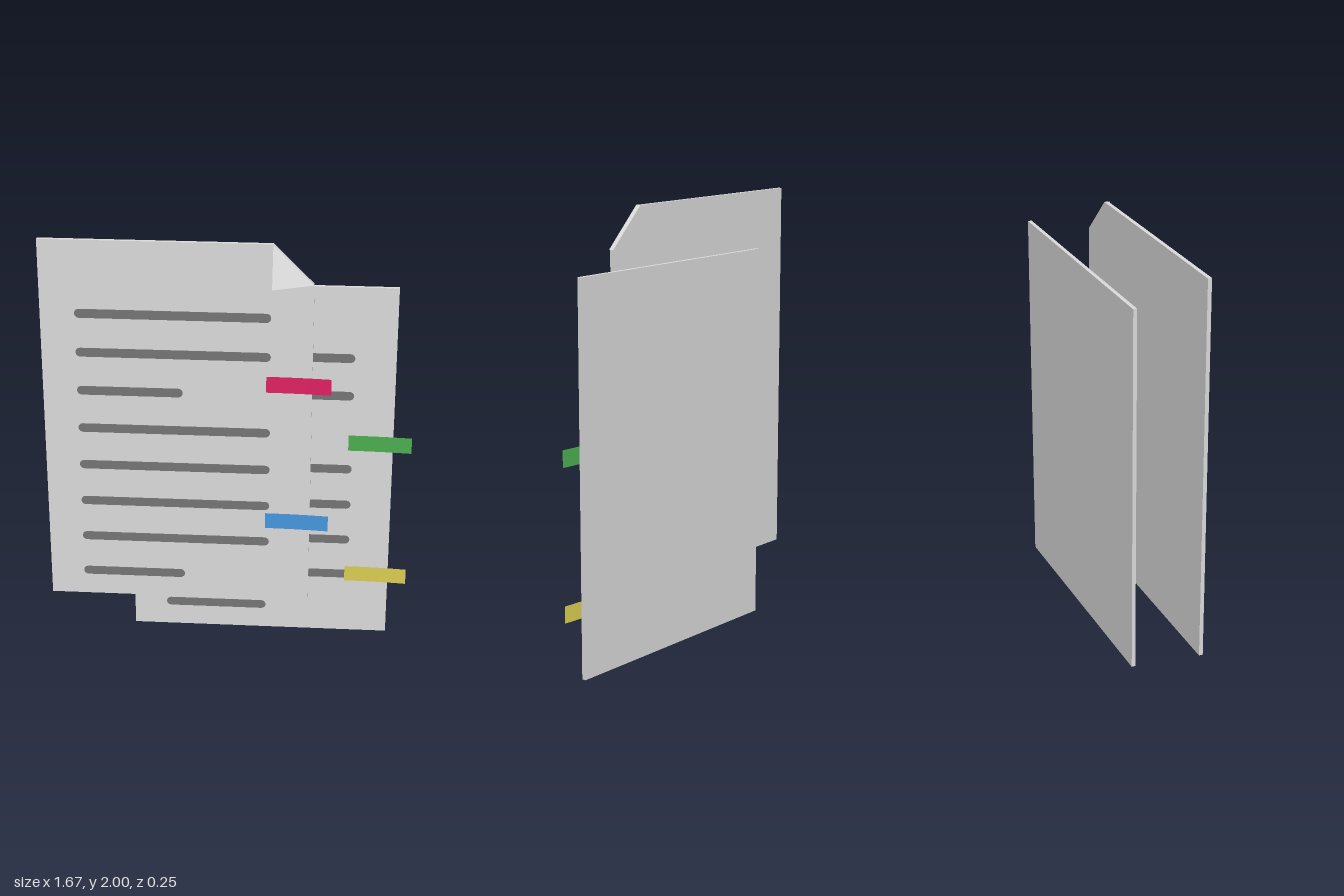
import * as THREE from 'three';

const mat = (name, color, side = THREE.FrontSide) => {
  const m = new THREE.MeshStandardMaterial({ color, side });
  m.name = name;
  return m;
};

export function createModel() {
  const paper = mat('paper', 0xdcdcdc, THREE.DoubleSide);
  const ink = mat('ink', 0x757575);
  const red = mat('red', 0xe02263, THREE.DoubleSide);
  const blue = mat('blue', 0x4698e0, THREE.DoubleSide);
  const green = mat('green', 0x4caf50, THREE.DoubleSide);
  const yellow = mat('yellow', 0xdccf52, THREE.DoubleSide);

  const W = 1.21, H = 1.757, T = 0.018, FOLD = 0.18;
  const model = new THREE.Group();
  model.name = 'documents';

  const add = (parent, name, geometry, material) => {
    const mesh = new THREE.Mesh(geometry, material);
    mesh.name = name;
    parent.add(mesh);
    return mesh;
  };

  // Flat plate cut from an outline
  const plate = (points, depth) => new THREE.ExtrudeGeometry(
    new THREE.Shape(points.map(([x, y]) => new THREE.Vector2(x, y))),
    { depth, bevelEnabled: false });

  // One line of writing: a thin bar with rounded ends
  const bar = (length) => {
    const r = 0.021, s = new THREE.Shape();
    s.absarc(length - r, 0, r, -Math.PI / 2, Math.PI / 2, false);
    s.absarc(r, 0, r, Math.PI / 2, Math.PI * 1.5, false);
    return new THREE.ExtrudeGeometry(s, { depth: 0.003, bevelEnabled: false, curveSegments: 6 });
  };

  // A sheet with eight lines, origin at its lower left back corner
  const sheet = (name, x, y, z, fold) => {
    const g = new THREE.Group();
    g.name = name;
    g.position.set(x, y, z);
    const corner = fold ? [[W, H - fold], [W - fold, H]] : [[W, H]];
    add(g, 'page', plate([[0, 0], [W, 0], ...corner, [0, H]], T), paper);
    for (let i = 0; i < 8; i++) {
      const short = i === 2 || i === 7;
      add(g, 'textLine', bar(short ? 0.477 : 0.87), ink)
        .position.set(0.154, 1.417 - i * 0.1848, T - 0.001);
    }
    model.add(g);
    return g;
  };

  // Sticky tab whose free end lifts slightly forward
  const tab = (parent, name, y, material) => {
    const L = 0.29;
    const geo = new THREE.PlaneGeometry(L, 0.077, 8, 1);
    const p = geo.attributes.position;
    for (let i = 0; i < p.count; i++) {
      const t = p.getX(i) / L + 0.5;
      p.setZ(i, 0.013 * t * t);
    }
    geo.computeVertexNormals();
    add(parent, name, geo, material).position.set(1.005 + L / 2, y, T + 0.004);
  };

  const back = sheet('backSheet', -0.462, 0, -0.128, 0);
  tab(back, 'greenTab', 0.998, green);
  tab(back, 'yellowTab', 0.312, yellow);

  const front = sheet('frontSheet', -0.835, 0.243, 0.026, FOLD);
  tab(front, 'redTab', 1.102, red);
  tab(front, 'blueTab', 0.419, blue);

  // Folded corner, lifted away from the page
  const flap = new THREE.BufferGeometry();
  flap.setAttribute('position', new THREE.Float32BufferAttribute([
    W - FOLD, H, T + 0.006,
    W - FOLD, H - FOLD, 0.099,
    W, H - FOLD, T + 0.006,
  ], 3));
  flap.computeVertexNormals();
  add(front, 'foldedCorner', flap, paper);

  // Page behind the fold, closing the gap under the flap
  add(front, 'foldCrease', plate(
    [[W - FOLD, H], [W - FOLD - 0.003, H], [W - 0.003, H - FOLD], [W, H - FOLD]], T + 0.006), paper);

  return model;
}
